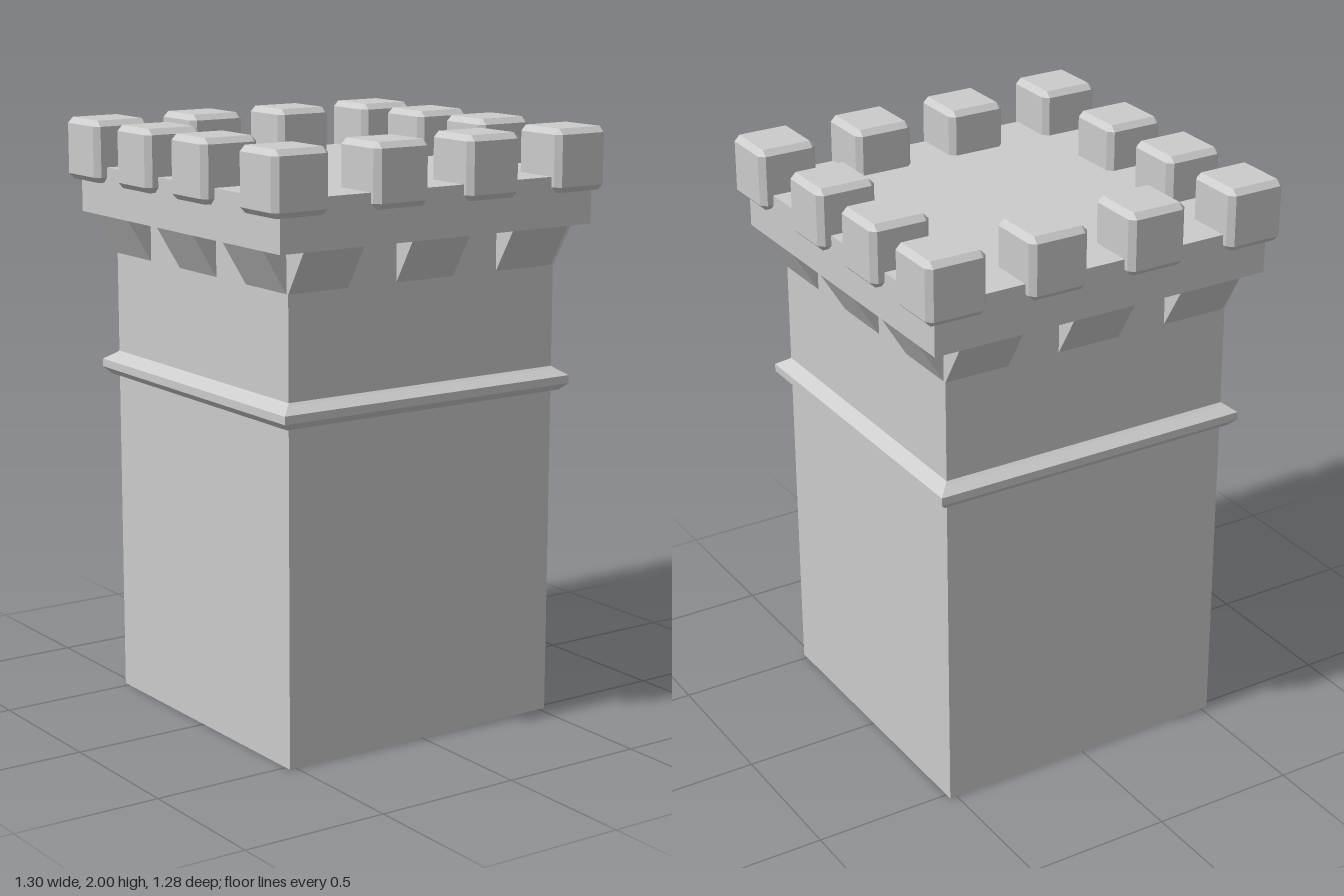
import * as THREE from 'three';
import { ConvexGeometry } from 'three/addons/geometries/ConvexGeometry.js';

const material = new THREE.MeshStandardMaterial({ color: 0xcccccc, flatShading: true });

const TOWER = 0.525; // half width of the shaft
const PLATFORM = 0.61; // half width of the platform

function addMesh(parent, name, geometry, x = 0, y = 0, z = 0) {
  const mesh = new THREE.Mesh(geometry, material);
  mesh.name = name;
  mesh.position.set(x, y, z);
  parent.add(mesh);
  return mesh;
}

// Cube with every edge and corner cut at 45 degrees
function chamferedCube(size, cut) {
  const h = size / 2, i = h - cut, points = [];
  for (const x of [-1, 1]) for (const y of [-1, 1]) for (const z of [-1, 1]) {
    points.push(
      new THREE.Vector3(x * h, y * i, z * i),
      new THREE.Vector3(x * i, y * h, z * i),
      new THREE.Vector3(x * i, y * i, z * h));
  }
  return new ConvexGeometry(points);
}

// Triangular bracket under the +z edge of the platform, from x0 to x1
function corbelGeometry(x0, x1) {
  const side = new THREE.Shape([
    new THREE.Vector2(TOWER, 1.54),
    new THREE.Vector2(PLATFORM, 1.68),
    new THREE.Vector2(TOWER, 1.68),
  ]);
  return new THREE.ExtrudeGeometry(side, { depth: x1 - x0, bevelEnabled: false })
    .rotateY(-Math.PI / 2)
    .translate(x1, 0, 0);
}

export function createModel() {
  const model = new THREE.Group();
  model.name = 'castleTower';

  // Square shaft and the overhanging platform
  addMesh(model, 'shaft', new THREE.BoxGeometry(TOWER * 2, 1.68, TOWER * 2), 0, 0.84, 0);
  addMesh(model, 'platform', new THREE.BoxGeometry(PLATFORM * 2, 0.165, PLATFORM * 2), 0, 1.7625, 0);

  // Moulding around the shaft: a four-sided lathe of [half width, height]
  const profile = [[0.525, 1.12], [0.545, 1.12], [0.567, 1.143], [0.567, 1.17], [0.535, 1.192], [0.525, 1.2]]
    .map(([r, y]) => new THREE.Vector2(r * Math.SQRT2, y));
  addMesh(model, 'moulding', new THREE.LatheGeometry(profile, 4, Math.PI / 4));

  // Three corbels on each side
  const spans = [[-0.525, -0.3], [-0.115, 0.11], [0.285, 0.515]];
  const corbels = spans.map(([a, b]) => corbelGeometry(a, b));
  for (let s = 0; s < 4; s++) {
    for (const geometry of corbels) addMesh(model, 'corbel', geometry).rotation.y = s * Math.PI / 2;
  }

  // Ring of twelve merlons: four across the front and back, two more on each side
  const merlon = chamferedCube(0.208, 0.019);
  const xs = [-0.546, -0.171, 0.188, 0.546];
  const zs = [-0.541, -0.206, 0.136, 0.536];
  xs.forEach((x, i) => zs.forEach((z, j) => {
    if (i % 3 === 0 || j % 3 === 0) addMesh(model, 'merlon', merlon, x, 1.896, z);
  }));

  return model;
}
